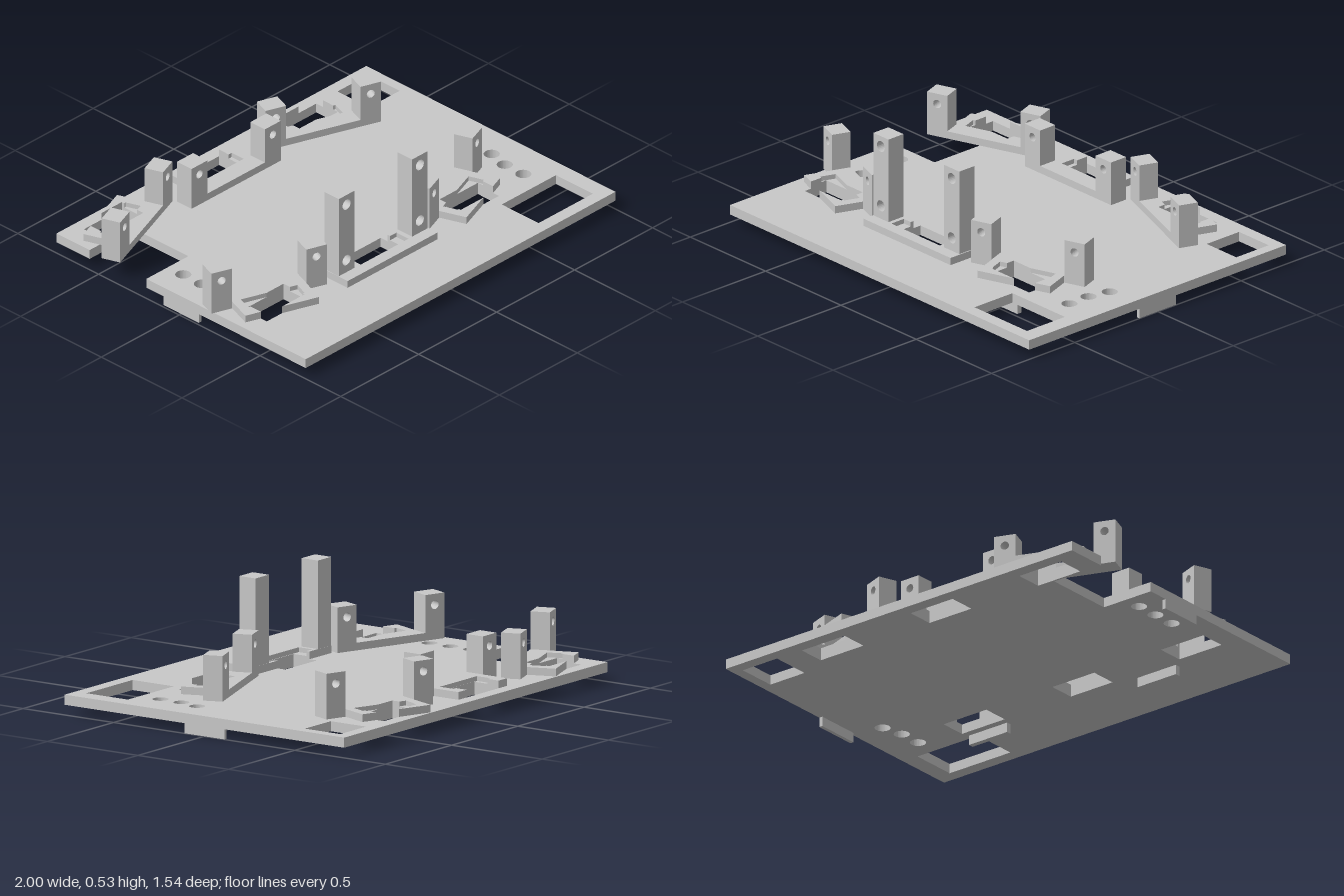
import * as THREE from 'three';
import { mergeGeometries } from 'three/addons/utils/BufferGeometryUtils.js';

const PLATE_BOTTOM = 0.046, PLATE_TOP = 0.092, RECESS = 0.105, BASE_TOP = 0.127;
const grey = new THREE.MeshStandardMaterial({ color: 0xc8c8c8 });
grey.name = 'grey plastic';

function add(group, name, geometry) {
  const mesh = new THREE.Mesh(geometry, grey);
  mesh.name = name;
  group.add(mesh);
  return mesh;
}

// Corners of a rectangle on the ground plane, as [x, z]
const rect = (x0, x1, z0, z1) => [[x0, z0], [x1, z0], [x1, z1], [x0, z1]];
const toVectors = (pts) => pts.map(([x, z]) => new THREE.Vector2(x, -z));

// Flat slab from an [x, z] outline between two heights
function slab(outline, y0, y1, holes = []) {
  const shape = new THREE.Shape(toVectors(outline));
  shape.holes.push(...holes);
  return new THREE.ExtrudeGeometry(shape, { depth: y1 - y0, bevelEnabled: false, curveSegments: 16 })
    .rotateX(-Math.PI / 2).translate(0, y0, 0);
}

function roundHole(x, y, r) {
  const path = new THREE.Path();
  path.absarc(x, y, r, 0, Math.PI * 2, true);
  return path;
}

// Part of a convex polygon on one side of the line a-b
function clip(poly, a, b, sign) {
  const side = ([x, z]) => sign * ((b[0] - a[0]) * (z - a[1]) - (b[1] - a[1]) * (x - a[0]));
  const out = [];
  poly.forEach((p, i) => {
    const q = poly[(i + 1) % poly.length], sp = side(p), sq = side(q);
    if (sp >= 0) out.push(p);
    if (sp * sq < 0) {
      const t = sp / (sp - sq);
      out.push([p[0] + t * (q[0] - p[0]), p[1] + t * (q[1] - p[1])]);
    }
  });
  return out;
}

function area(poly) {
  return Math.abs(poly.reduce((sum, p, i) => {
    const q = poly[(i + 1) % poly.length];
    return sum + p[0] * q[1] - q[0] * p[1];
  }, 0)) / 2;
}

// Convex polygon minus a convex cutter, as convex pieces
function subtract(poly, cutter) {
  const pieces = [];
  let rest = poly;
  cutter.forEach((a, i) => {
    const b = cutter[(i + 1) % cutter.length];
    pieces.push(clip(rest, a, b, -1));
    rest = clip(rest, a, b, 1);
  });
  return pieces.filter((p) => p.length > 2 && area(p) > 1e-6);
}

// Bracket base: through window cut at every level, shallow recess in the upper layer
function bracketBase(outlines, recess, window) {
  const lower = outlines.flatMap((o) => subtract(o, window));
  const upper = lower.flatMap((o) => subtract(o, recess));
  return mergeGeometries([
    ...lower.map((p) => slab(p, PLATE_TOP, RECESS)),
    ...upper.map((p) => slab(p, RECESS, BASE_TOP)),
  ]);
}

// Upright post with round holes running front to back
function postGeometry(width, y0, y1, depth, holes, r) {
  const w = width / 2;
  const shape = new THREE.Shape([[-w, y0], [w, y0], [w, y1], [-w, y1]].map((p) => new THREE.Vector2(...p)));
  holes.forEach((y) => shape.holes.push(roundHole(0, y, r)));
  return new THREE.ExtrudeGeometry(shape, { depth, bevelEnabled: false, curveSegments: 12 })
    .translate(0, 0, -depth / 2);
}

const windowXs = [[-0.877, -0.635], [-0.252, -0.012], [0.367, 0.612]];
const FRONT_Z = [0.293, 0.423], BACK_Z = [-0.709, -0.576];

function shortBracket(name, cx, cz, degrees, window) {
  const group = new THREE.Group();
  group.name = name;
  const a = THREE.MathUtils.degToRad(degrees), c = Math.cos(a), s = Math.sin(a);
  const place = (pts) => pts.map(([x, z]) => [cx + x * c - z * s, cz + x * s + z * c]);
  const bar = place(rect(-0.286, 0.286, -0.045, 0.045));
  const frame = place(rect(-0.183, 0.183, 0.045, 0.179));
  const recess = place(rect(-0.14, 0.14, 0.045, 0.119));
  add(group, 'bracketBase', bracketBase([bar, frame], recess, window));
  for (const side of [-1, 1]) {
    const post = add(group, 'shortPost', postGeometry(0.102, PLATE_TOP, 0.3, 0.09, [0.25], 0.02));
    const [[x, z]] = place([[side * 0.235, 0]]);
    post.position.set(x, 0, z);
    post.rotation.y = -a;
  }
  return group;
}

function tallBracket(window) {
  const group = new THREE.Group();
  group.name = 'tallBracket';
  add(group, 'bracketBase', bracketBase(
    [rect(-0.42, 0.157, 0.335, 0.483)], rect(-0.298, 0.028, 0.352, 0.427), window));
  for (const x of [-0.368, 0.102]) {
    // Blind holes: drilled front half against a solid back half
    add(group, 'tallPostFront', postGeometry(0.1, PLATE_TOP, 0.53, 0.05, [0.19, 0.48], 0.026))
      .position.set(x, 0, 0.401);
    add(group, 'tallPostBack', postGeometry(0.1, PLATE_TOP, 0.53, 0.04, [], 0))
      .position.set(x, 0, 0.356);
  }
  return group;
}

export function createModel() {
  const model = new THREE.Group();
  model.name = 'mountingPlate';

  // Base plate with edge notch, windows and cable holes; outline runs counter-clockwise from above
  const outline = [[-0.988, -0.567], [-0.72, -0.567], [-0.72, -0.215], [-0.988, -0.215],
    [-0.988, 0.772], [0.998, 0.772], [0.998, -0.772], [-0.988, -0.772]];
  const openings = [rect(0.752, 0.948, -0.713, -0.518), rect(0.568, 0.916, 0.483, 0.711)];
  for (const [x0, x1] of windowXs) {
    for (const [z0, z1] of [FRONT_Z, BACK_Z]) openings.push(rect(x0, x1, z0, z1));
  }
  const holes = openings.map((o) => new THREE.Path(toVectors(o)));
  for (const [x, z] of [[-0.847, -0.123], [-0.847, -0.008], [-0.847, 0.107],
    [0.847, 0.151], [0.822, 0.256], [0.822, 0.371]]) holes.push(roundHole(x, -z, 0.036));
  add(model, 'basePlate', slab(outline, PLATE_BOTTOM, PLATE_TOP, holes));

  // Locating tabs under the plate
  for (const r of [rect(-0.988, -0.97, -0.11, 0.11), rect(0.981, 0.998, -0.11, 0.11),
    rect(-0.587, -0.367, 0.457, 0.482), rect(0.381, 0.599, 0.457, 0.482)]) {
    add(model, 'locatingTab', slab(r, 0, PLATE_BOTTOM));
  }

  // Brackets around the plate
  const win = (i, z) => rect(...windowXs[i], ...z);
  model.add(
    shortBracket('frontRightBracket', -0.716, 0.255, 20, win(0, FRONT_Z)),
    shortBracket('frontLeftBracket', 0.45, 0.255, -20, win(2, FRONT_Z)),
    shortBracket('backRightBracket', -0.716, -0.536, 160, win(0, BACK_Z)),
    shortBracket('backMiddleBracket', -0.133, -0.53, 180, win(1, BACK_Z)),
    shortBracket('backLeftBracket', 0.45, -0.536, 200, win(2, BACK_Z)),
    tallBracket(win(1, FRONT_Z)),
  );
  return model;
}
